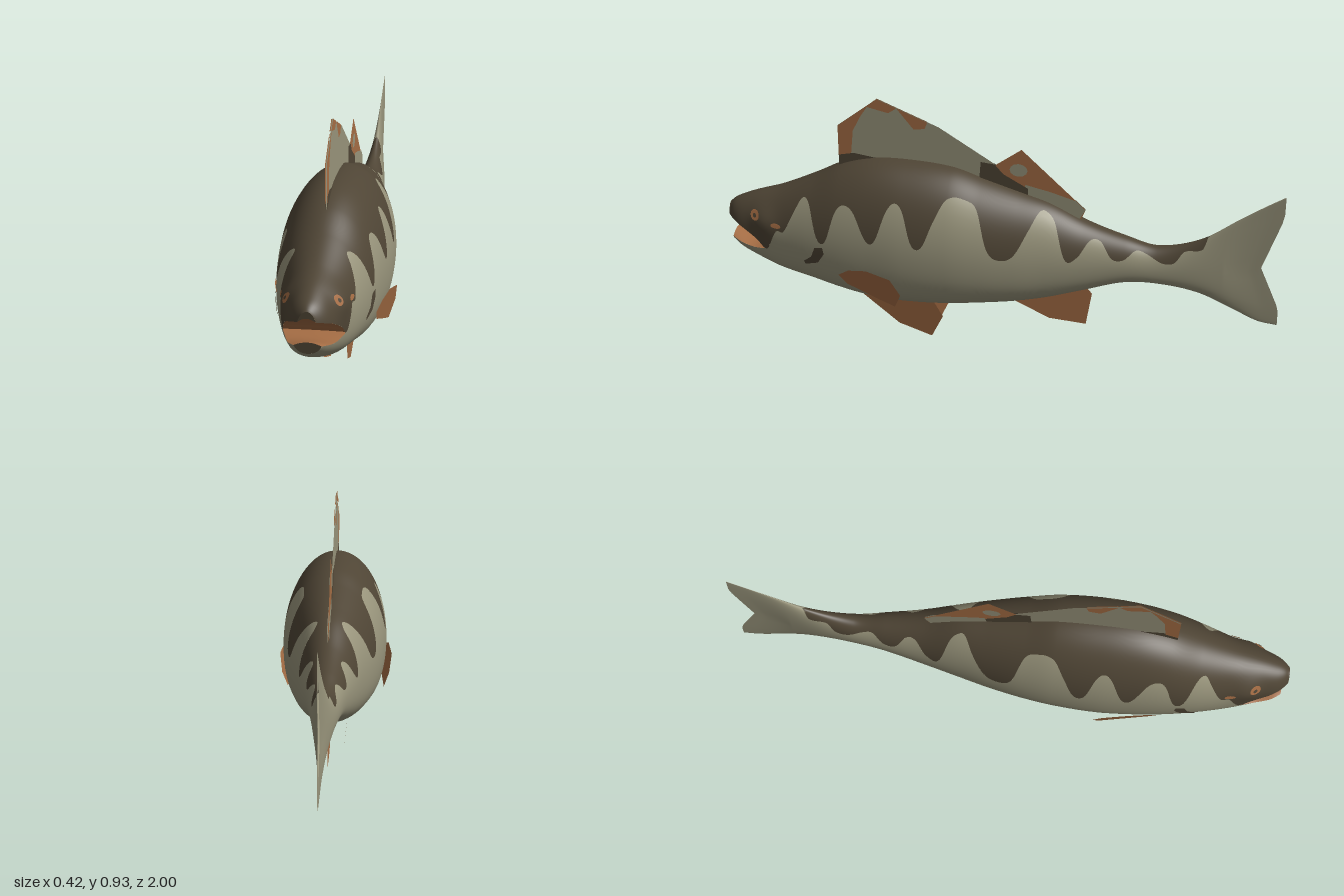
import * as THREE from 'three';

const material = (name, color) => new THREE.MeshStandardMaterial({ name, color, side: THREE.DoubleSide });

// Smooth interpolation through rows [z, value, ...] sorted by rising z
function sample(rows, z, k = 1) {
  const n = rows.length;
  if (z <= rows[0][0]) return rows[0][k];
  if (z >= rows[n - 1][0]) return rows[n - 1][k];
  let i = 0;
  while (z > rows[i + 1][0]) i++;
  const slope = (j) => {
    const a = rows[Math.max(j - 1, 0)], b = rows[Math.min(j + 1, n - 1)];
    return (b[k] - a[k]) / (b[0] - a[0]);
  };
  const h = rows[i + 1][0] - rows[i][0], t = (z - rows[i][0]) / h, t2 = t * t, t3 = t2 * t;
  return (2 * t3 - 3 * t2 + 1) * rows[i][k] + (t3 - 2 * t2 + t) * h * slope(i)
    + (3 * t2 - 2 * t3) * rows[i + 1][k] + (t3 - t2) * h * slope(i + 1);
}

// Body stations: z, back height, belly height, half width
const BODY = [
  [-1, 0.685, 0.17, 0.003], [-0.93, 0.64, 0.18, 0.005], [-0.85, 0.585, 0.215, 0.012], [-0.715, 0.49, 0.275, 0.03],
  [-0.565, 0.447, 0.302, 0.048], [-0.45, 0.472, 0.298, 0.066], [-0.31, 0.518, 0.255, 0.092], [-0.18, 0.58, 0.215, 0.12],
  [-0.07, 0.615, 0.192, 0.145], [0.06, 0.655, 0.175, 0.17], [0.17, 0.69, 0.162, 0.184], [0.33, 0.704, 0.155, 0.19],
  [0.46, 0.698, 0.162, 0.182], [0.57, 0.667, 0.183, 0.17], [0.68, 0.61, 0.212, 0.15], [0.8, 0.555, 0.238, 0.118],
  [0.9, 0.522, 0.275, 0.088], [0.95, 0.502, 0.3, 0.074], [0.98, 0.487, 0.32, 0.056], [1, 0.47, 0.328, 0.036],
];
// Lower edge of the dark back: hanging bars, then the upper lip
const BARS = [
  [-0.74, 0.5], [-0.725, 0.46], [-0.66, 0.445], [-0.63, 0.405], [-0.59, 0.4], [-0.53, 0.43], [-0.49, 0.44], [-0.45, 0.41],
  [-0.41, 0.415], [-0.37, 0.47], [-0.33, 0.475], [-0.29, 0.42], [-0.25, 0.41], [-0.21, 0.53], [-0.18, 0.565],
  [-0.15, 0.57], [-0.12, 0.52], [-0.07, 0.43], [-0.02, 0.415], [0.02, 0.45], [0.06, 0.58], [0.1, 0.615], [0.17, 0.62],
  [0.21, 0.55], [0.25, 0.455], [0.285, 0.46], [0.32, 0.57], [0.35, 0.6], [0.38, 0.57], [0.42, 0.46], [0.45, 0.455],
  [0.5, 0.55], [0.54, 0.57], [0.57, 0.54], [0.605, 0.43], [0.635, 0.43], [0.67, 0.54], [0.7, 0.56], [0.73, 0.51],
  [0.77, 0.43], [0.8, 0.425], [0.84, 0.345], [0.88, 0.375], [0.94, 0.41], [1, 0.435],
];
const LOWER_LIP = [[0.84, 0.345], [0.9, 0.335], [0.985, 0.35]];

function section(z) {
  const top = sample(BODY, z, 1), bottom = sample(BODY, z, 2);
  return { top, bottom, w: sample(BODY, z, 3), mid: bottom + (top - bottom) * 0.44 };
}

// Point on the skin; angle 0 is the back, PI the belly
function skin(z, angle) {
  const { top, bottom, w, mid } = section(z);
  const c = Math.cos(angle), s = Math.sin(angle);
  const y = mid + c * (c > 0 ? top - mid : mid - bottom);
  const bulge = 0.014 * Math.exp(-(((z - 0.86) / 0.05) ** 2) - ((y - 0.46) / 0.05) ** 2);
  const x = s * (w * (c < 0 ? 1 + 0.25 * c * c : 1) + bulge);
  // forked trailing edge
  const zz = z < -0.8 ? -0.8 + (z + 0.8) * (0.65 + 0.35 * Math.min(1, Math.abs(c) * 1.4)) : z;
  return new THREE.Vector3(x, y, zz);
}

function angleAt(z, y) {
  const { top, bottom, mid } = section(z);
  const v = (y - mid) / (y > mid ? top - mid : mid - bottom);
  return Math.acos(THREE.MathUtils.clamp(v, -1, 1));
}

const barAngle = (z) => (z < -0.74 ? 0 : angleAt(z, sample(BARS, z)));
const lowAngle = (z) => (z > 0.84 ? angleAt(z, sample(LOWER_LIP, z)) : barAngle(z));

// Grid surface from fn(u, t), u and t in 0..1; normalFn is optional
function patch(nu, nt, fn, normalFn) {
  const pos = [], nor = [], index = [];
  for (let i = 0; i <= nu; i++) for (let j = 0; j <= nt; j++) {
    pos.push(...fn(i / nu, j / nt).toArray());
    if (normalFn) nor.push(...normalFn(i / nu, j / nt).toArray());
    if (i < nu && j < nt) {
      const a = i * (nt + 1) + j, b = a + nt + 1;
      index.push(a, b, a + 1, b, b + 1, a + 1);
    }
  }
  const g = new THREE.BufferGeometry();
  g.setAttribute('position', new THREE.Float32BufferAttribute(pos, 3));
  g.setIndex(index);
  if (normalFn) g.setAttribute('normal', new THREE.Float32BufferAttribute(nor, 3));
  else g.computeVertexNormals();
  return g;
}

// Skin between two angle limits that vary along the body
function shell(z0, z1, nu, nt, from, to) {
  const at = (u, t) => {
    const z = z0 + (z1 - z0) * u;
    return [z, THREE.MathUtils.lerp(from(z), to(z), t)];
  };
  return patch(nu, nt, (u, t) => skin(...at(u, t)), (u, t) => {
    const [z, a] = at(u, t), e = 0.004;
    const dz = skin(z + e, a).sub(skin(z - e, a)), da = skin(z, a + e).sub(skin(z, a - e));
    return dz.cross(da).normalize();
  });
}

// Flat outline in (z, y), bent sideways by xAt(z, y)
function plate(points, xAt) {
  const g = new THREE.ShapeGeometry(new THREE.Shape(points.map(([z, y]) => new THREE.Vector2(-z, y))));
  const p = g.attributes.position;
  for (let i = 0; i < p.count; i++) {
    const z = -p.getX(i), y = p.getY(i);
    p.setXYZ(i, xAt(z, y), y, z);
  }
  g.computeVertexNormals();
  return g;
}

const oval = (z, y, rz, ry) => Array.from({ length: 12 }, (_, i) =>
  [z + rz * Math.cos(i * Math.PI / 6), y + ry * Math.sin(i * Math.PI / 6)]);

export function createModel() {
  const dark = material('dark brown', 0x4f4535);
  const pale = material('pale olive', 0x98947b);
  const orange = material('rusty orange', 0xa56d44);
  const model = new THREE.Group();
  const add = (name, geometry, mat) => {
    const mesh = new THREE.Mesh(geometry, mat);
    mesh.name = name;
    model.add(mesh);
  };

  // Body: barred back above, pale flanks, belly and tail below
  add('barredBack', shell(-0.74, 1, 260, 28, (z) => -barAngle(z), barAngle), dark);
  add('flanksAndTail', shell(-1, 0.985, 290, 36, lowAngle, (z) => 2 * Math.PI - lowAngle(z)), pale);

  // Mouth lining and lip fronts
  const lining = (angle, bow) => (z, t) => {
    const edge = skin(z, angle(z)), s = 2 * t - 1;
    return new THREE.Vector3(edge.x * s, edge.y + bow * (1 - s * s) * (z - 0.84) / 0.16, z);
  };
  const palate = lining(barAngle, 0.012), floor = lining(lowAngle, 0.012);
  add('palate', patch(10, 12, (u, t) => palate(0.84 + 0.16 * u, t)), orange);
  add('mouthFloor', patch(10, 12, (u, t) => floor(0.84 + 0.145 * u, t)), orange);
  add('upperLip', patch(2, 16, (u, t) =>
    skin(1, barAngle(1) * (2 * t - 1)).lerp(palate(1, t), u)), dark);
  add('lowerLip', patch(2, 16, (u, t) => {
    const a = lowAngle(0.985);
    return skin(0.985, a + (2 * Math.PI - 2 * a) * t).lerp(floor(0.985, 1 - t), u);
  }), dark);

  // Fins on the centre line
  const centre = () => 0;
  add('frontDorsalFin', plate([[0.585, 0.62], [0.585, 0.815], [0.44, 0.93], [0.22, 0.84], [0.02, 0.715], [-0.02, 0.6]], centre), pale);
  add('rearDorsalFin', plate([[0.02, 0.6], [0.02, 0.71], [-0.075, 0.78], [-0.305, 0.565], [-0.28, 0.5]], centre), orange);
  add('analFin', plate([[0.02, 0.2], [-0.02, 0.18], [-0.18, 0.105], [-0.315, 0.095], [-0.335, 0.225], [-0.28, 0.29]], centre), orange);

  for (const side of [1, -1]) {
    const label = side > 0 ? 'left' : 'right';
    const paint = (name, points, mat) => add(label + name, plate(points, () => side * 0.003), mat);
    // Dorsal fin markings
    paint('FinFrontEdge', [[0.585, 0.68], [0.585, 0.815], [0.47, 0.906], [0.5, 0.86], [0.53, 0.8], [0.54, 0.7]], orange);
    paint('FinTopSpot', [[0.48, 0.898], [0.44, 0.93], [0.37, 0.901], [0.4, 0.88]], orange);
    paint('FinRearSpot', [[0.37, 0.901], [0.26, 0.856], [0.27, 0.83], [0.31, 0.825]], orange);
    paint('FinFrontBase', [[0.585, 0.62], [0.585, 0.7], [0.53, 0.712], [0.45, 0.7], [0.4, 0.65]], dark);
    paint('FinRearBase', [[0.08, 0.6], [0.07, 0.72], [0.02, 0.715], [-0.01, 0.68], [-0.1, 0.63], [-0.1, 0.55]], dark);
    paint('RearFinBand', [[-0.08, 0.6], [-0.09, 0.645], [-0.18, 0.625], [-0.27, 0.598], [-0.305, 0.565], [-0.28, 0.52]], pale);
    paint('RearFinSpot', oval(-0.065, 0.7, 0.032, 0.025), pale);

    // Paired fins
    add(label + 'PectoralFin', plate(
      [[0.56, 0.3], [0.52, 0.33], [0.45, 0.345], [0.36, 0.325], [0.325, 0.26], [0.35, 0.2], [0.41, 0.22], [0.53, 0.265]],
      (z, y) => side * (0.168 + 0.2 * (0.5 - z) + 0.25 * (y - 0.27))), orange);
    add(label + 'PelvicFin', plate(
      [[0.5, 0.165], [0.37, 0.045], [0.25, 0], [0.205, 0.095], [0.24, 0.165], [0.35, 0.19]],
      (z, y) => side * (0.035 + 0.125 * y)), orange);

    // Markings lying on the head
    const onSkin = (lift) => (z, y) => side * (skin(z, angleAt(z, y)).x + lift);
    add(label + 'Eye', plate(oval(0.885, 0.468, 0.018, 0.018), onSkin(0.003)), orange);
    add(label + 'Pupil', plate(oval(0.885, 0.468, 0.007, 0.007), onSkin(0.005)), dark);
    add(label + 'CheekStreak', plate(oval(0.8, 0.447, 0.02, 0.009), onSkin(0.004)), orange);
    add(label + 'GillMark', plate(
      [[0.615, 0.405], [0.61, 0.38], [0.635, 0.34], [0.685, 0.322], [0.69, 0.335], [0.66, 0.36], [0.645, 0.4]],
      onSkin(0.004)), dark);
  }
  return model;
}
